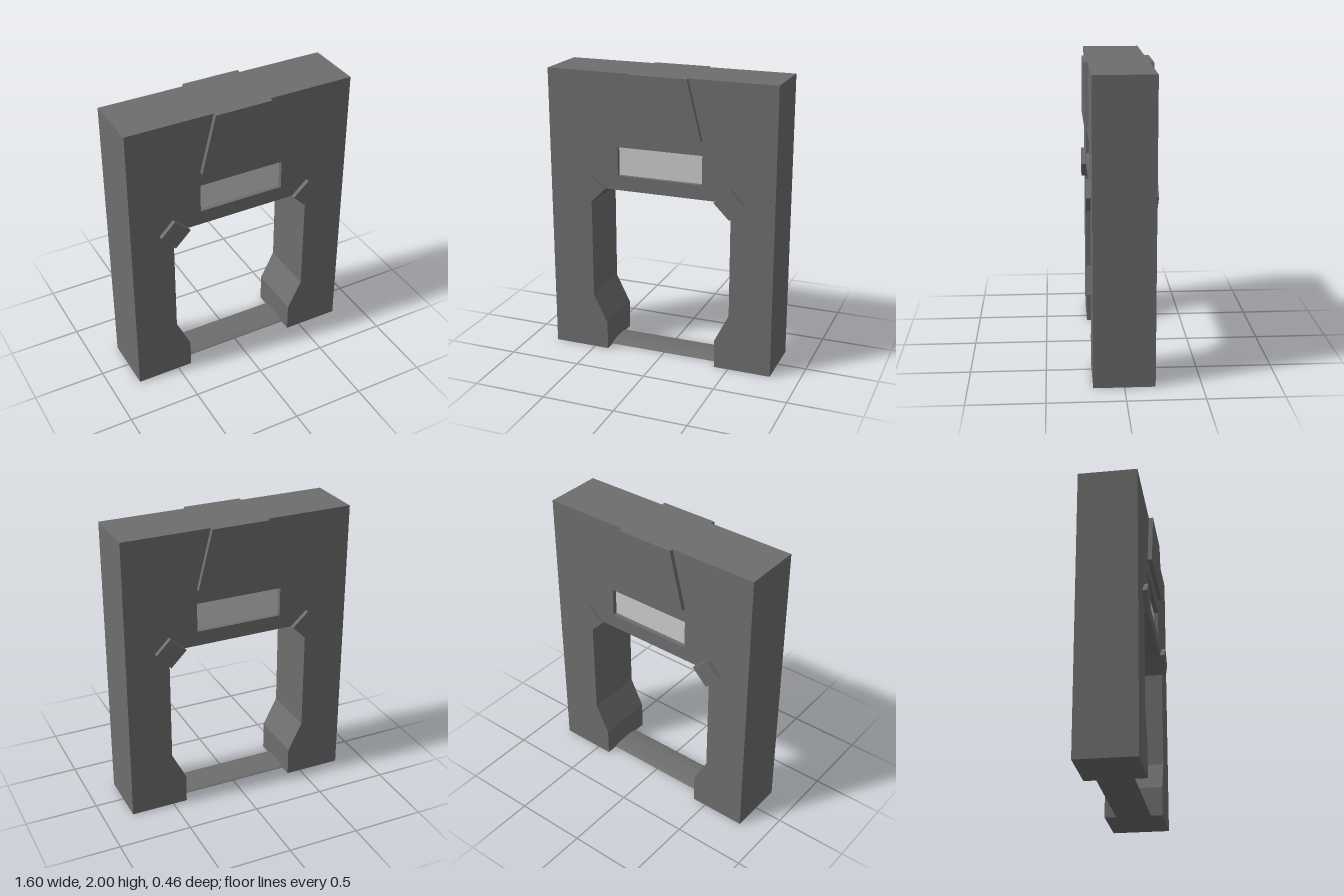
import * as THREE from 'three';

const stone = new THREE.MeshStandardMaterial({ color: 0x6e6e6e, flatShading: true });
const pale = new THREE.MeshStandardMaterial({ color: 0xcccccc, flatShading: true });

const polygon = (points) => new THREE.Shape(points.map(([x, y]) => new THREE.Vector2(x, y)));

// Flat shape extruded between two depths
function slab(name, shape, z0, z1, material = stone) {
  const geometry = new THREE.ExtrudeGeometry(shape, { depth: z1 - z0, bevelEnabled: false });
  geometry.translate(0, 0, z0);
  const mesh = new THREE.Mesh(geometry, material);
  mesh.name = name;
  return mesh;
}

export function createModel() {
  const model = new THREE.Group();
  model.name = 'gateway';

  // Wall with doorway and window
  const half = [[0.4, 0], [0.4, 0.2], [0.5, 0.4], [0.5, 1.2]];
  const mirrored = half.map(([x, y]) => [-x, y]);
  const wall = polygon([
    [-0.8, 0], ...mirrored, ...half.slice().reverse(),
    [0.8, 0], [0.8, 2], [-0.8, 2],
  ]);
  wall.holes.push(new THREE.Path([
    new THREE.Vector2(-0.3, 1.3), new THREE.Vector2(-0.3, 1.5),
    new THREE.Vector2(0.3, 1.5), new THREE.Vector2(0.3, 1.3),
  ]));
  model.add(slab('wall', wall, -0.2, 0.2));

  // Recessed sign panel filling the window
  const panel = new THREE.Mesh(new THREE.BoxGeometry(0.6, 0.2, 0.34), pale);
  panel.name = 'signPanel';
  panel.position.y = 1.4;
  model.add(panel);

  // Keystone plates on both faces
  const keystone = polygon([[-0.3, 1.6], [0.3, 1.6], [0.2, 2], [-0.2, 2]]);
  model.add(slab('frontKeystone', keystone, 0.2, 0.23));
  model.add(slab('backKeystone', keystone, -0.23, -0.2));

  // Diagonal beams through the upper corners of the doorway
  for (const [name, s] of [['leftCornerBeam', 1], ['rightCornerBeam', -1]]) {
    const beam = polygon([[0.6 * s, 1.2], [0.5 * s, 1.3], [0.39 * s, 1.2], [0.5 * s, 1.09]]);
    model.add(slab(name, beam, -0.23, 0.23));
  }

  // Low rounded threshold between the feet
  const arch = [];
  for (let i = 0; i <= 10; i++) {
    const a = (i / 10) * Math.PI;
    arch.push([0.12 * Math.cos(a), 0.02 * Math.sin(a)]);
  }
  const threshold = slab('threshold', polygon(arch), -0.4, 0.4);
  threshold.rotation.y = Math.PI / 2;
  model.add(threshold);

  return model;
}
